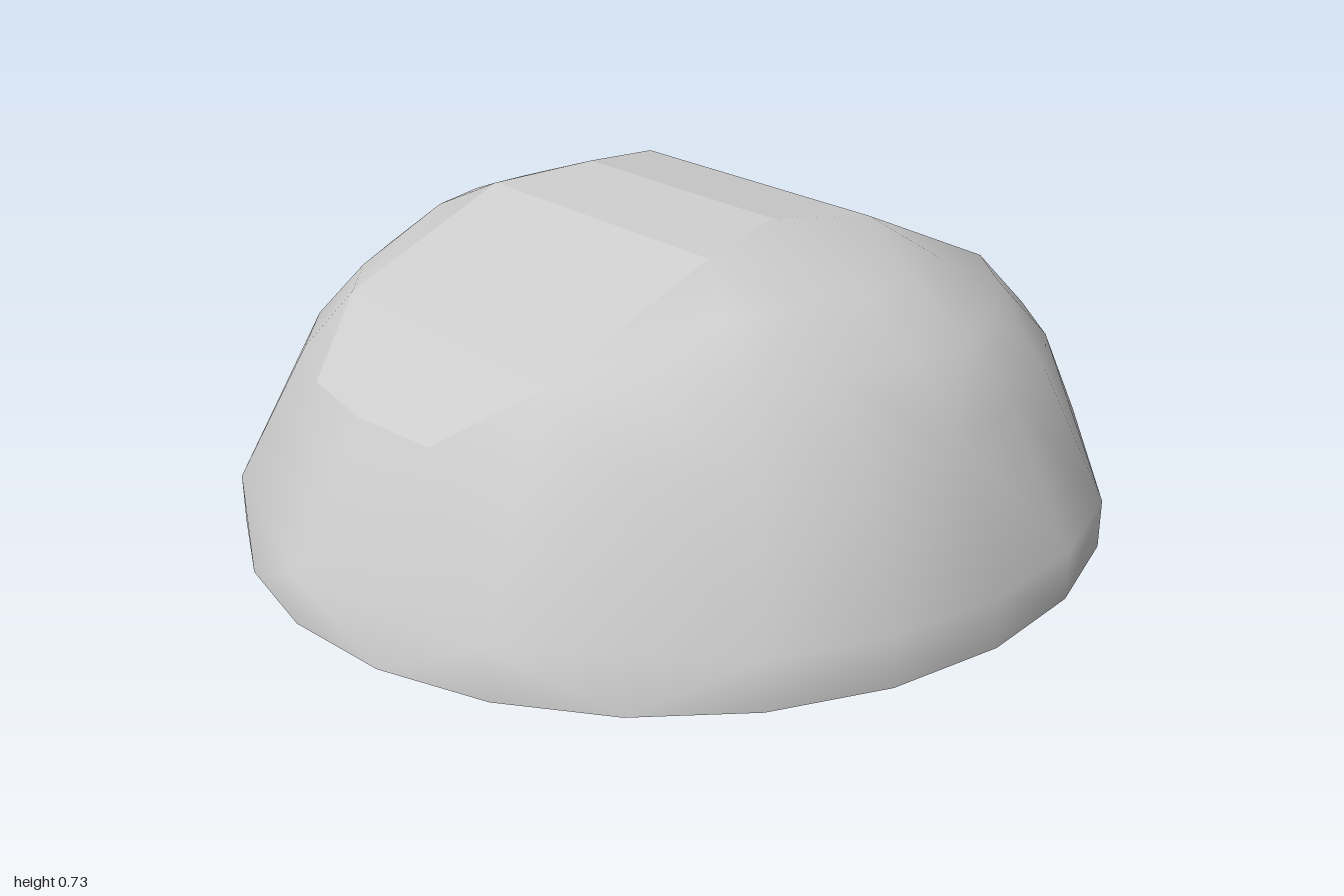
import * as THREE from 'three';
import { ConvexGeometry } from 'three/addons/geometries/ConvexGeometry.js';
import { mergeVertices } from 'three/addons/utils/BufferGeometryUtils.js';

const SEGMENTS = 24;

// Outline points of the solid, taken ring by ring from the ground up
function domePoints() {
  const points = [];
  const ring = (radiusX, radiusZ, y, keep) => {
    for (let i = 0; i < SEGMENTS; i++) {
      const a = (i / SEGMENTS) * Math.PI * 2;
      const degrees = Math.round(Math.asin(Math.abs(Math.sin(a))) * 180 / Math.PI);
      if (keep(degrees)) points.push(new THREE.Vector3(radiusX * Math.cos(a), y, radiusZ * Math.sin(a)));
    }
  };
  ring(0.97, 1, 0, () => true);
  ring(0.97, 1, 0.11, d => d !== 45 && d !== 75);
  ring(0.835, 0.83, 0.405, () => true);
  ring(0.72, 0.72, 0.527, d => d <= 60);
  ring(0.59, 0.59, 0.63, d => d <= 30);

  // Sloping panels at front and back, mirrored on both axes
  for (const sx of [-1, 1]) {
    points.push(new THREE.Vector3(0.31 * sx, 0.725, 0));
    for (const sz of [-1, 1]) {
      for (const [x, y, z] of [[0.37, 0.7, 0.23], [0.31, 0.512, 0.65], [0.19, 0.42, 0.78]]) {
        points.push(new THREE.Vector3(x * sx, y, z * sz));
      }
    }
  }
  return points;
}

export function createModel() {
  const group = new THREE.Group();
  group.name = 'facetedDome';
  const hull = new ConvexGeometry(domePoints()).getAttribute('position');

  // Sort the faces into smooth shell, flat top panels and flat underside
  const parts = { domeShell: [], topPanels: [], underside: [] };
  const tri = new THREE.Triangle();
  const normal = new THREE.Vector3();
  const centre = new THREE.Vector3();
  for (let i = 0; i < hull.count; i += 3) {
    tri.setFromAttributeAndIndices(hull, i, i + 1, i + 2);
    tri.getNormal(normal);
    tri.getMidpoint(centre);
    let part = 'domeShell';
    if (normal.y < -0.9) part = 'underside';
    else if (normal.y > 0.75 && Math.abs(centre.x) < 0.32) part = 'topPanels';
    for (const p of [tri.a, tri.b, tri.c]) parts[part].push(p.x, p.y, p.z);
  }

  for (const [name, positions] of Object.entries(parts)) {
    let geometry = new THREE.BufferGeometry();
    geometry.setAttribute('position', new THREE.Float32BufferAttribute(positions, 3));
    if (name === 'domeShell') geometry = mergeVertices(geometry);
    geometry.computeVertexNormals();
    const mesh = new THREE.Mesh(geometry, new THREE.MeshStandardMaterial({ color: 0xcccccc }));
    mesh.name = name;
    group.add(mesh);
  }
  return group;
}
